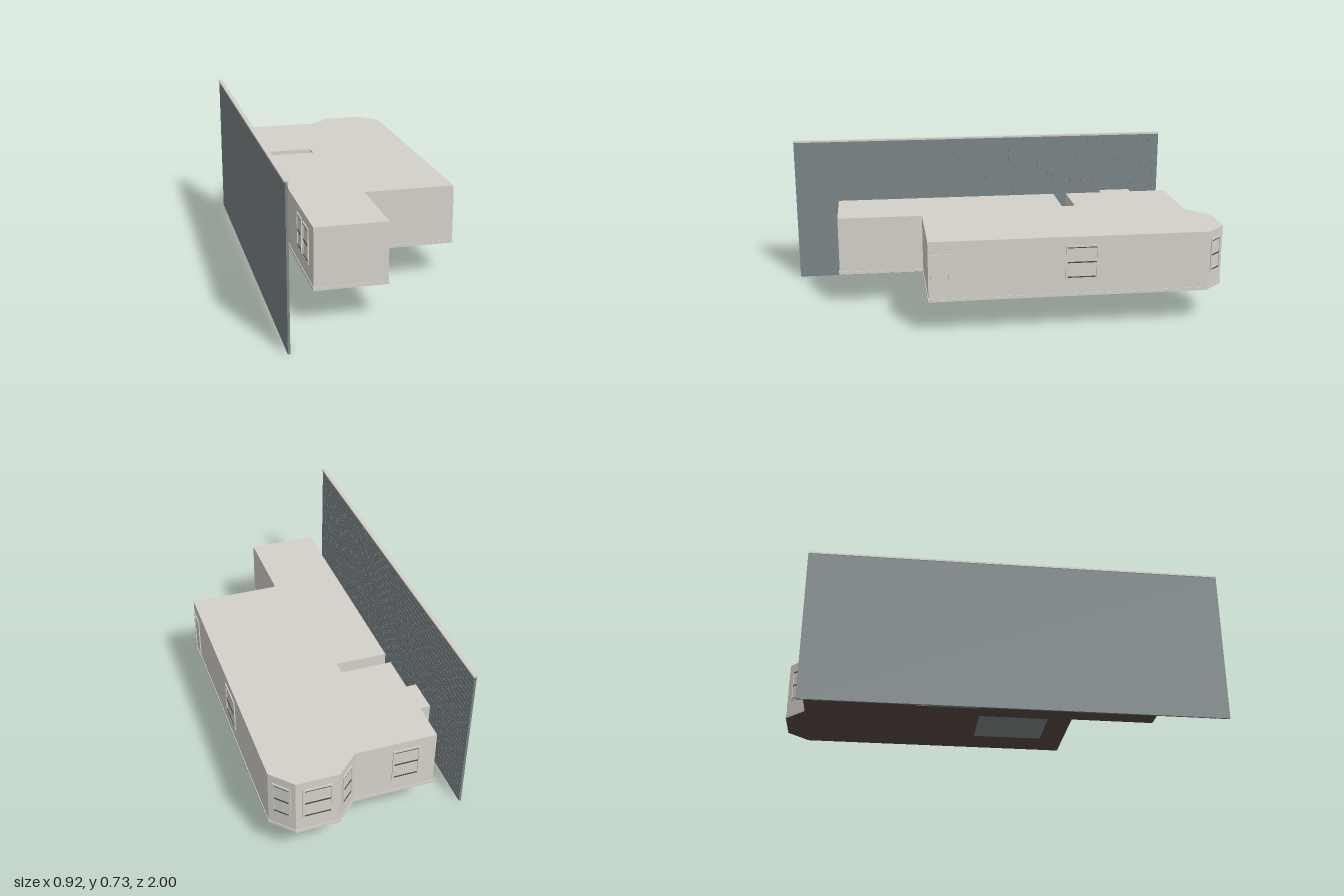
import * as THREE from 'three';
import { mergeGeometries } from 'three/addons/utils/BufferGeometryUtils.js';

const BASE = 0.165, TOP = 0.445;

// House outline as x, z pairs
const OUTLINE = [
  [-0.30, -0.90], [0.07, -0.90], [0.17, -0.994], [0.36, -0.994], [0.45, -0.90],
  [0.45, 0.38], [0.025, 0.38], [0.025, 0.78], [-0.30, 0.78], [-0.30, -0.315],
  [-0.06, -0.315], [-0.06, -0.38], [-0.30, -0.38], [-0.30, -0.565],
  [-0.347, -0.565], [-0.347, -0.72], [-0.30, -0.72],
];

function material(name, color) {
  const m = new THREE.MeshStandardMaterial({ color });
  m.name = name;
  return m;
}

function outlineShape(sign) {
  return new THREE.Shape(OUTLINE.map(([x, z]) => new THREE.Vector2(x, sign * z)));
}

// Outline extruded upwards, optionally grown outwards
function slab(height, grow) {
  const g = new THREE.ExtrudeGeometry(outlineShape(-1), {
    depth: height, bevelEnabled: grow > 0, bevelThickness: 0, bevelSize: grow, bevelSegments: 1,
  });
  return g.rotateX(-Math.PI / 2);
}

function rect(target, w, h) {
  target.moveTo(-w / 2, -h / 2);
  target.lineTo(w / 2, -h / 2);
  target.lineTo(w / 2, h / 2);
  target.lineTo(-w / 2, h / 2);
  target.closePath();
  return target;
}

export function createModel() {
  const model = new THREE.Group();
  const wallMat = material('pale plaster', 0xd4d1c9);
  const fenceMat = material('blue grey', 0x7a8587);
  const floorMat = material('dark brown', 0x594842);
  const railMat = material('dark rail', 0x4c4b48);

  function add(parent, name, geometry, mat, x = 0, y = 0, z = 0) {
    const mesh = new THREE.Mesh(geometry, mat);
    mesh.name = name;
    mesh.position.set(x, y, z);
    parent.add(mesh);
    return mesh;
  }

  // House body and skirting
  add(model, 'houseBody', slab(TOP - BASE, 0), wallMat, 0, BASE, 0);
  add(model, 'skirting', slab(0.014, 0.003), wallMat, 0, BASE, 0);

  // Underside: brown floor with two grey areas
  const floor = new THREE.ShapeGeometry(outlineShape(1)).rotateX(Math.PI / 2);
  add(model, 'floor', floor, floorMat, 0, BASE - 0.0015, 0);
  for (const [x0, x1, z0, z1] of [[0.03, 0.29, -0.07, 0.265], [-0.30, -0.06, -0.315, -0.07]]) {
    const g = new THREE.PlaneGeometry(x1 - x0, z1 - z0).rotateX(Math.PI / 2);
    add(model, 'tiledFloor', g, fenceMat, (x0 + x1) / 2, BASE - 0.003, (z0 + z1) / 2);
  }

  // Raised frame around a pane or door leaf, facing +z
  function opening(name, x, y, z, nx, nz, w, h) {
    const group = new THREE.Group();
    group.name = name;
    const shape = rect(new THREE.Shape(), w, h);
    shape.holes.push(rect(new THREE.Path(), w - 0.016, h - 0.016));
    const frame = new THREE.ExtrudeGeometry(shape, { depth: 0.005, bevelEnabled: false });
    add(group, 'frame', frame, wallMat);
    add(group, 'panel', new THREE.PlaneGeometry(w - 0.016, h - 0.016), wallMat, 0, 0, 0.001);
    group.position.set(x, y, z);
    group.rotation.y = Math.atan2(nx, nz);
    model.add(group);
    return group;
  }

  // Windows: x, z, outward normal x and z, width
  const windows = [
    [0.45, -0.315, 1, 0, 0.15],
    [-0.165, -0.90, 0, -1, 0.125],
    [0.265, -0.994, 0, -1, 0.13],
    [0.405, -0.947, 0.094, -0.09, 0.085],
    [0.12, -0.947, -0.094, -0.1, 0.085],
    [-0.30, -0.785, -1, 0, 0.11],
    [-0.30, 0.12, -1, 0, 0.12],
    [-0.30, 0.505, -1, 0, 0.10],
    [-0.30, 0.635, -1, 0, 0.11],
  ];
  for (const [x, z, nx, nz, w] of windows) {
    const win = opening('window', x, 0.325, z, nx, nz, w, 0.16);
    for (const y of [-0.07, 0, 0.07]) {
      add(win, 'rail', new THREE.BoxGeometry(w - 0.016, 0.005, 0.004), railMat, 0, y, 0.002);
    }
  }
  opening('door', 0.45, 0.275, 0.325, 1, 0, 0.09, 0.22);

  // Boundary wall with shallow bricks on the house side and a coping
  add(model, 'boundaryWall', new THREE.BoxGeometry(0.009, 0.718, 1.9), fenceMat, -0.4505, 0.359, 0.05);
  const bricks = [], rows = 28, cols = 32;
  const rowH = 0.718 / rows, colL = 1.9 / cols;
  for (let r = 0; r < rows; r++) {
    for (let c = 0; c <= cols; c++) {
      // Alternate courses shift by half a brick
      const shift = r % 2 ? -0.5 : 0;
      const a = Math.max(0, c + shift), b = Math.min(cols, c + 1 + shift);
      if (b <= a) continue;
      const g = new THREE.BoxGeometry(0.002, rowH - 0.002, (b - a) * colL - 0.002);
      bricks.push(g.translate(-0.4455, (r + 0.5) * rowH, -0.9 + (a + b) / 2 * colL));
    }
  }
  add(model, 'bricks', mergeGeometries(bricks), fenceMat);
  add(model, 'coping', new THREE.BoxGeometry(0.02, 0.008, 1.9), wallMat, -0.45, 0.721, 0.05);

  return model;
}
